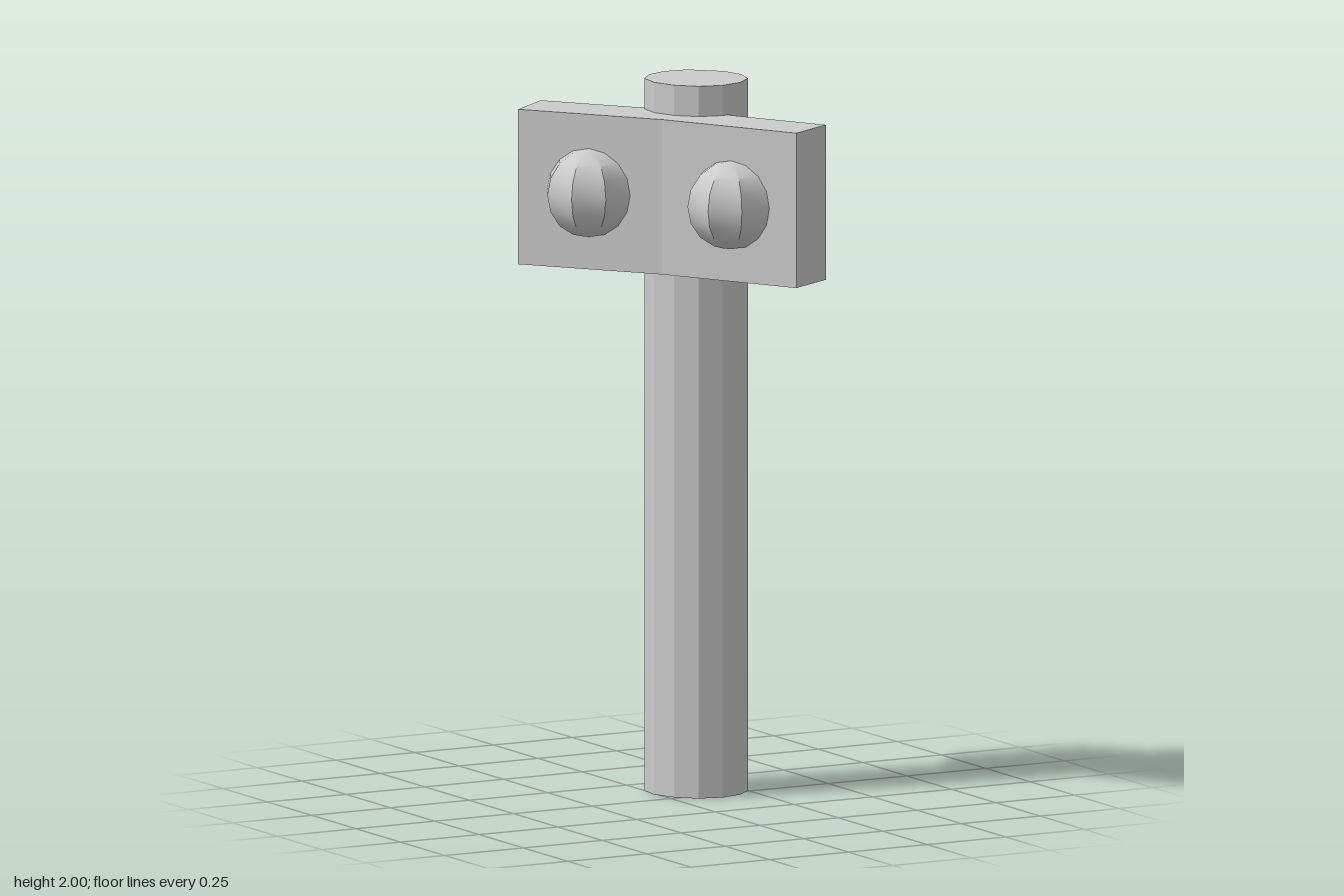
import * as THREE from 'three';
import { toCreasedNormals } from 'three/addons/utils/BufferGeometryUtils.js';

const material = new THREE.MeshStandardMaterial({ color: 0xcccccc });

function addPart(group, name, geometry) {
  const mesh = new THREE.Mesh(geometry, material);
  mesh.name = name;
  group.add(mesh);
  return mesh;
}

// Upright prism from a plan outline of [x, z] corners
function prism(plan, bottom, top) {
  const shape = new THREE.Shape(plan.map(([x, z]) => new THREE.Vector2(x, -z)));
  const geometry = new THREE.ExtrudeGeometry(shape, { depth: top - bottom, bevelEnabled: false });
  return geometry.rotateX(-Math.PI / 2).translate(0, bottom, 0);
}

export function createModel() {
  const group = new THREE.Group();

  // Slightly irregular twelve-sided post
  addPart(group, 'post', prism([
    [0.105, -0.225], [0.175, -0.217], [0.25, -0.145], [0.267, -0.077],
    [0.25, -0.01], [0.2, 0.038], [0.133, 0.056], [0.067, 0.038],
    [0.017, -0.012], [-0.008, -0.08], [0, -0.15], [0.043, -0.2],
  ], 0, 2));

  // Board bent slightly where it meets the post
  addPart(group, 'bentBoard', prism([
    [-0.31, -0.311], [-0.045, 0.03], [0.17, 0.405],
    [0.308, 0.327], [0.077, -0.073], [-0.183, -0.408],
  ], 1.48, 1.915));

  // Half-sphere lamps, each facing out from its half of the board
  const dome = toCreasedNormals(
    new THREE.SphereGeometry(0.124, 4, 8, 0, Math.PI), THREE.MathUtils.degToRad(30));
  const lamps = [
    { name: 'rightLamp', x: -0.18, z: -0.143, normal: [-0.79, 0.614] },
    { name: 'leftLamp', x: 0.065, z: 0.223, normal: [-0.868, 0.497] },
  ];
  for (const { name, x, z, normal } of lamps) {
    const lamp = addPart(group, name, dome);
    lamp.position.set(x, 1.695, z);
    lamp.rotation.y = Math.atan2(normal[0], normal[1]);
  }

  return group;
}
